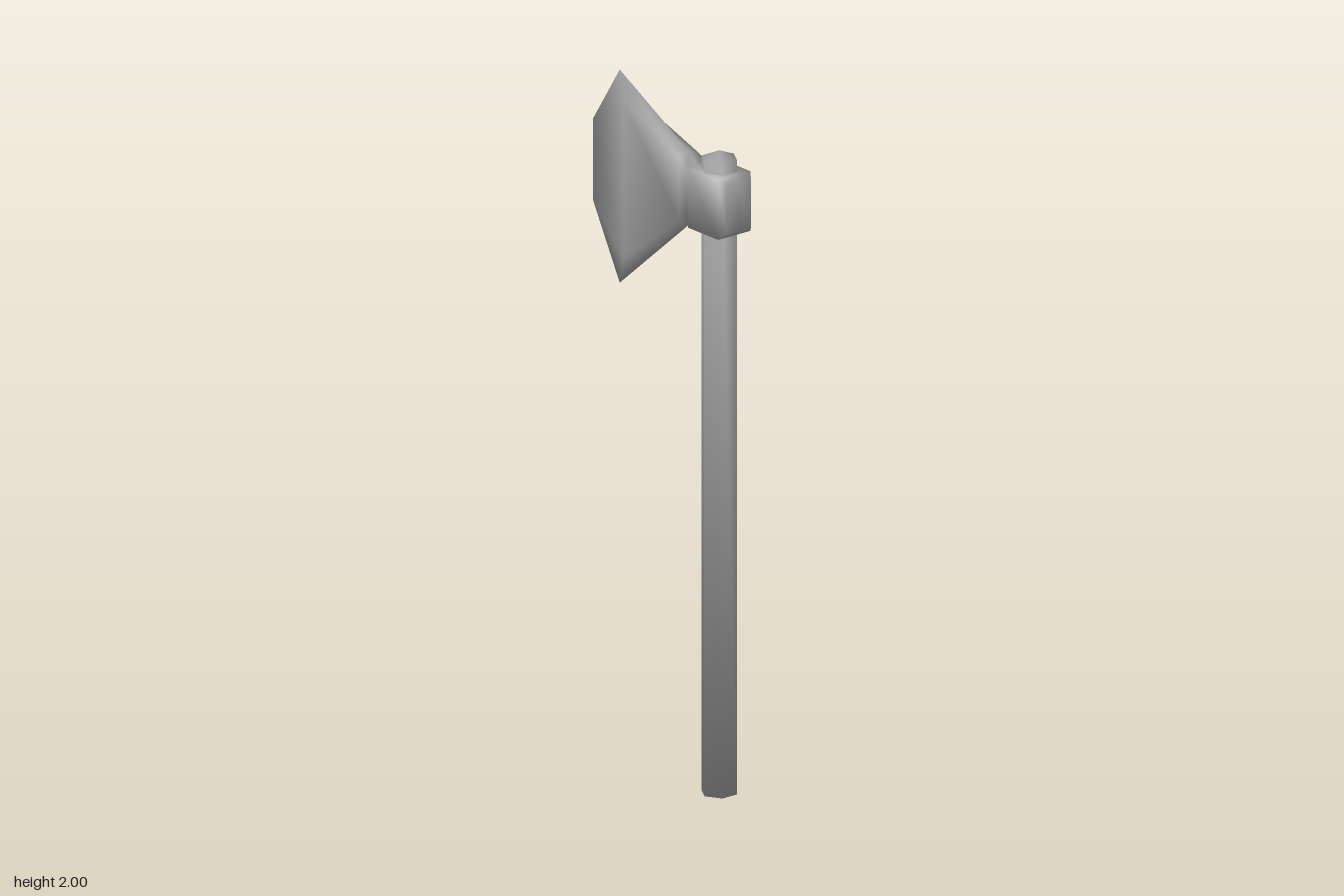
import * as THREE from 'three';
import { mergeVertices } from 'three/addons/utils/BufferGeometryUtils.js';

// Weld the corners and give each the average of its faces' normals, weighted by angle
function smooth(source) {
  source.deleteAttribute('normal');
  source.deleteAttribute('uv');
  const geometry = mergeVertices(source);
  const { position } = geometry.attributes;
  const index = geometry.index.array;
  const normals = Array.from({ length: position.count }, () => new THREE.Vector3());
  for (let i = 0; i < index.length; i += 3) {
    const ids = [index[i], index[i + 1], index[i + 2]];
    const points = ids.map((id) => new THREE.Vector3().fromBufferAttribute(position, id));
    const faceNormal = new THREE.Triangle(...points).getNormal(new THREE.Vector3());
    ids.forEach((id, k) => {
      const toNext = points[(k + 1) % 3].clone().sub(points[k]);
      const toLast = points[(k + 2) % 3].clone().sub(points[k]);
      normals[id].addScaledVector(faceNormal, toNext.angleTo(toLast));
    });
  }
  const values = normals.flatMap((n) => n.normalize().toArray());
  geometry.setAttribute('normal', new THREE.Float32BufferAttribute(values, 3));
  return geometry;
}

// Six-point cross-section: ridge on top and bottom, a pair of corners on each side
function ring(x, ridgeTop, sideTop, sideBottom, ridgeBottom, z, ridgeX = x) {
  return [
    [ridgeX, ridgeTop, 0], [x, sideTop, z], [x, sideBottom, z],
    [ridgeX, ridgeBottom, 0], [x, sideBottom, -z], [x, sideTop, -z],
  ].map((p) => new THREE.Vector3(...p));
}

// Skin a list of rings running from +x to -x, with a cap on the first ring
function loft(rings) {
  const positions = [];
  const addTriangle = (a, b, c) => {
    if (new THREE.Triangle(a, b, c).getArea() < 1e-7) return;
    for (const p of [a, b, c]) positions.push(p.x, p.y, p.z);
  };
  const n = rings[0].length;
  for (let i = 0; i < rings.length - 1; i++) {
    for (let j = 0; j < n; j++) {
      const k = (j + 1) % n;
      const [a, b] = [rings[i][j], rings[i][k]];
      const [c, d] = [rings[i + 1][j], rings[i + 1][k]];
      addTriangle(a, c, b);
      addTriangle(b, c, d);
    }
  }
  for (let j = 1; j < n - 1; j++) addTriangle(rings[0][0], rings[0][j], rings[0][j + 1]);
  const geometry = new THREE.BufferGeometry();
  geometry.setAttribute('position', new THREE.Float32BufferAttribute(positions, 3));
  return geometry;
}

export function createModel() {
  const model = new THREE.Group();
  model.name = 'axe';
  const material = new THREE.MeshStandardMaterial({ color: 0xa0a0a0 });

  // Hexagonal shaft with a shallow pointed end
  const profile = [[0, 0], [0.052, 0], [0.052, 1.86], [0, 1.882]];
  const shaft = new THREE.LatheGeometry(profile.map((p) => new THREE.Vector2(...p)), 6);
  const handle = new THREE.Mesh(smooth(shaft), material);
  handle.name = 'handle';
  handle.position.x = 0.23;
  model.add(handle);

  // Collar, neck and flared blade in one skin, ending in the cutting edge
  const head = new THREE.Mesh(smooth(loft([
    ring(0.315, 1.81, 1.81, 1.67, 1.67, 0.043),
    ring(0.295, 1.825, 1.825, 1.65, 1.65, 0.058),
    ring(0.165, 1.825, 1.825, 1.65, 1.65, 0.058),
    ring(0.145, 1.8, 1.8, 1.67, 1.67, 0.043),
    ring(0.1, 1.843, 1.83, 1.645, 1.628, 0.035),
    ring(-0.155, 2.0, 1.925, 1.465, 1.375, 0.024, -0.2),
    ring(-0.315, 1.825, 1.825, 1.585, 1.585, 0),
  ])), material);
  head.name = 'axeHead';
  model.add(head);

  return model;
}
